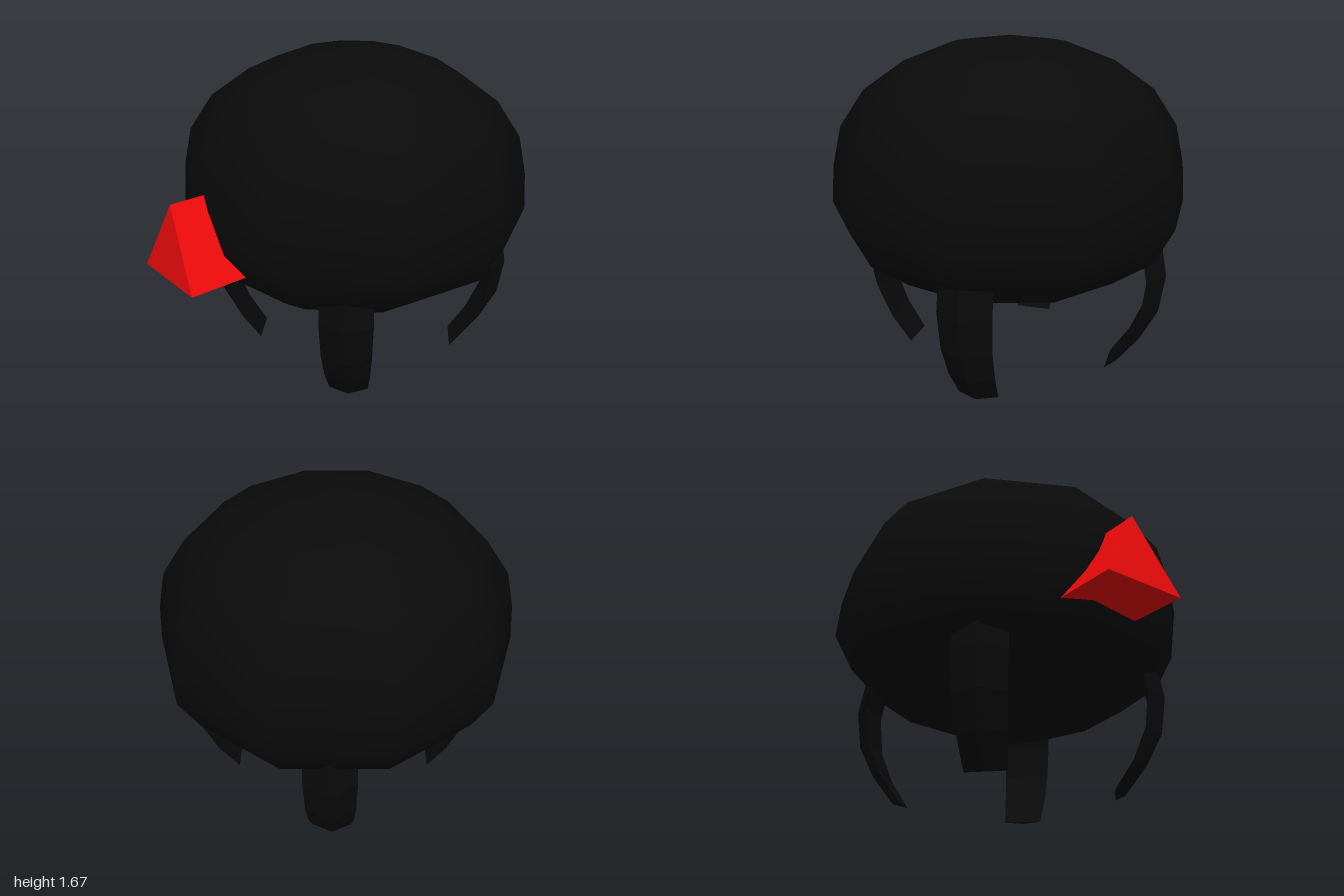
import * as THREE from 'three';

const black = new THREE.MeshStandardMaterial({ color: 0x0a0a0a });
const blackFlat = new THREE.MeshStandardMaterial({ color: 0x0a0a0a, flatShading: true });
const red = new THREE.MeshStandardMaterial({ color: 0xf00a0a, flatShading: true });

// Closed solid through a row of triangular cross-sections
function loftTriangles(sections) {
  const index = [];
  const last = (sections.length - 1) * 3;
  for (let s = 0; s < last; s += 3) {
    for (let j = 0; j < 3; j++) {
      const a = s + j, b = s + (j + 1) % 3;
      index.push(a, b, b + 3, a, b + 3, a + 3);
    }
  }
  index.push(0, 2, 1, last, last + 1, last + 2);
  const geometry = new THREE.BufferGeometry();
  geometry.setAttribute('position', new THREE.Float32BufferAttribute(sections.flat(2), 3));
  geometry.setIndex(index);
  geometry.computeVertexNormals();
  return geometry;
}

function addMesh(group, name, geometry, material) {
  const mesh = new THREE.Mesh(geometry, material);
  mesh.name = name;
  group.add(mesh);
  return mesh;
}

export function createModel() {
  const model = new THREE.Group();
  model.name = 'model';

  // Domed ten-sided body
  const profile = [
    [0, 0.345], [0.315, 0.38], [0.615, 0.495], [0.82, 0.64], [0.92, 0.825], [0.905, 1.02],
    [0.86, 1.22], [0.735, 1.405], [0.53, 1.55], [0.28, 1.645], [0, 1.675],
  ].map(([r, y]) => new THREE.Vector2(r, y));
  const body = addMesh(model, 'body',
    new THREE.LatheGeometry(profile, 10, THREE.MathUtils.degToRad(9)), black);
  body.position.x = 0.09;

  // Four curved legs on the diagonals: height, distance out, half width, thickness
  const legGeometry = loftTriangles([
    [0, 0.54, 0.1, 0.05],
    [0.145, 0.64, 0.115, 0.065],
    [0.305, 0.71, 0.125, 0.08],
    [0.5, 0.735, 0.132, 0.085],
    [0.7, 0.7, 0.13, 0.085],
  ].map(([y, out, w, t]) => [[-w, y, out], [0, y, out + t], [w, y, out]]));
  const legNames = ['frontLeftLeg', 'backLeftLeg', 'backRightLeg', 'frontRightLeg'];
  legNames.forEach((name, i) => {
    const leg = addMesh(model, name, legGeometry, blackFlat);
    leg.position.set(0.115, 0, 0.01);
    leg.rotation.y = Math.PI / 4 + i * Math.PI / 2;
  });

  // Red wedge sticking out of the right side
  const wedgeSection = (xBase, xRidge) =>
    [[xBase, 0.71, -0.27], [xBase, 0.71, 0.16], [xRidge, 1.08, -0.06]];
  addMesh(model, 'sideWedge',
    loftTriangles([wedgeSection(-0.55, -0.55), wedgeSection(-1, -0.955)]), red);

  return model;
}
